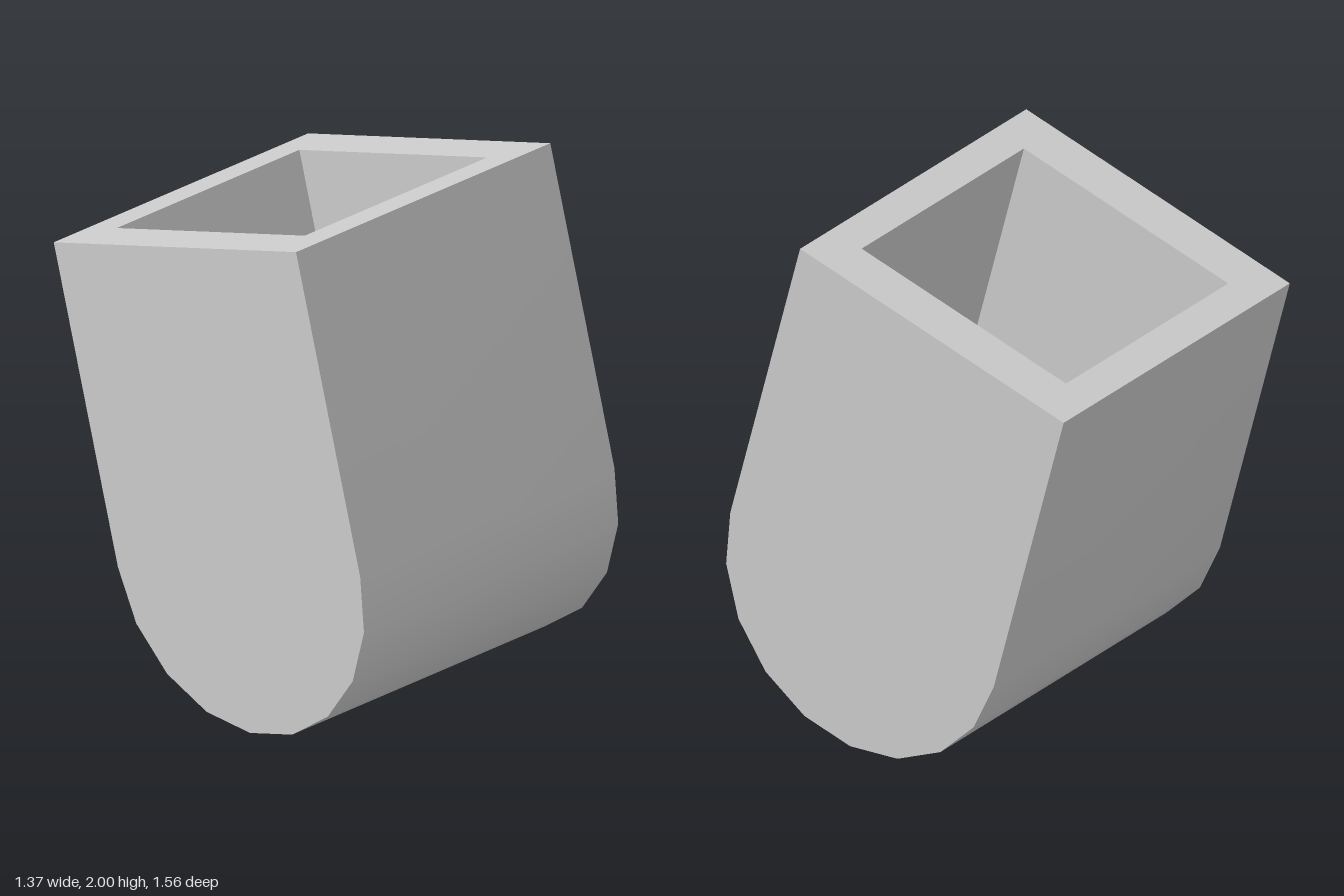
import * as THREE from 'three';
import { toCreasedNormals } from 'three/addons/utils/BufferGeometryUtils.js';

const W = 0.683; // half width
const R = 0.632; // radius of the rounded base
const H = 1.249; // height of the straight walls
const P = 0.49;  // half size of the square pocket

export function createModel() {
  const grey = new THREE.MeshStandardMaterial({ color: 0xcccccc });
  grey.name = 'grey';

  // local frame: origin at the centre of the rounded base, then leaned back
  const model = new THREE.Group();
  model.name = 'tiltedHolder';
  const body = new THREE.Group();
  body.name = 'body';
  body.position.set(0, 0.63, 0.152);
  body.rotation.x = -Math.PI / 12;
  model.add(body);

  const add = (name, geometry) => {
    const mesh = new THREE.Mesh(geometry, grey);
    mesh.name = name;
    body.add(mesh);
    return mesh;
  };

  // U profile: front top, round the base in nine steps, back top
  const profile = [new THREE.Vector2(R, H)];
  for (let i = 0; i <= 9; i++) {
    const t = (i / 9) * Math.PI;
    profile.push(new THREE.Vector2(R * Math.cos(t), -R * Math.sin(t)));
  }
  profile.push(new THREE.Vector2(-R, H));

  // front, base and back wrapped from one bent sheet
  const sheet = new THREE.PlaneGeometry(2 * W, 1, 1, profile.length - 1);
  const pos = sheet.attributes.position;
  for (let i = 0; i < pos.count; i++) {
    const p = profile[Math.floor(i / 2)];
    pos.setXYZ(i, pos.getX(i), p.y, p.x);
  }
  add('curvedShell', toCreasedNormals(sheet, Math.PI / 6));

  // flat side walls
  for (const side of [1, -1]) {
    const wall = new THREE.ShapeGeometry(new THREE.Shape(profile));
    wall.rotateY(side * Math.PI / 2).translate(side * W, 0, 0);
    add(side > 0 ? 'leftWall' : 'rightWall', wall);
  }

  // rim around the square opening
  const rect = (Type, a, b) => new Type([[-a, -b], [a, -b], [a, b], [-a, b]]
    .map(([x, y]) => new THREE.Vector2(x, y)));
  const rimShape = rect(THREE.Shape, W, R);
  rimShape.holes.push(rect(THREE.Path, P, P));
  add('rim', new THREE.ShapeGeometry(rimShape).rotateX(-Math.PI / 2).translate(0, H, 0));

  // pocket: an inward-facing box without its lid
  const pocket = new THREE.BoxGeometry(2 * P, H, 2 * P);
  const index = Array.from(pocket.index.array);
  index.splice(12, 6);
  pocket.setIndex(index);
  pocket.clearGroups();
  pocket.scale(-1, 1, 1).translate(0, H / 2, 0);
  pocket.computeVertexNormals();
  add('pocket', pocket);

  return model;
}
